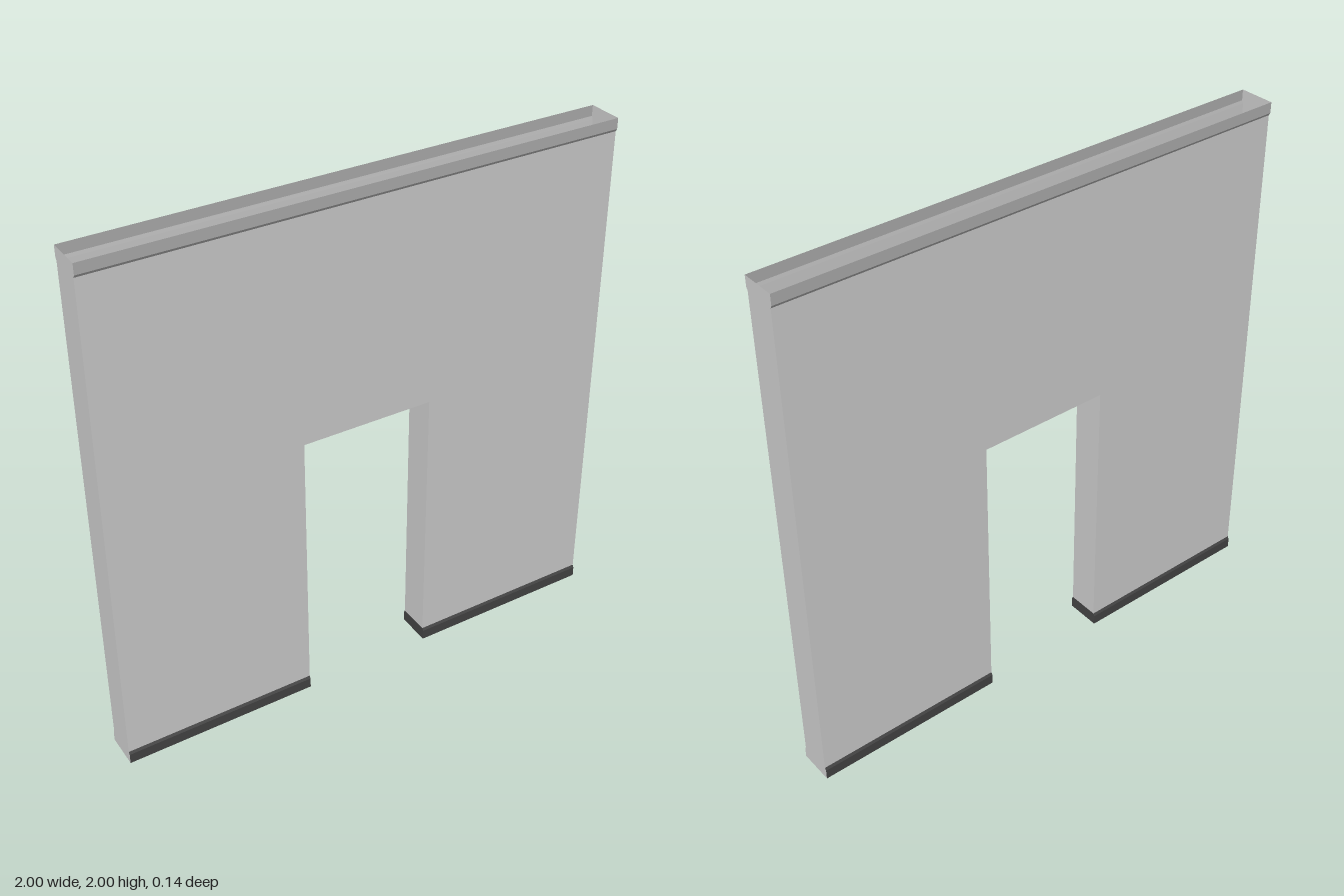
import * as THREE from 'three';

const WALL = 0.062, TRIM = 0.068;      // half depths of wall and trim
const DOOR = 0.255, DOOR_TOP = 1.1;    // half width and height of the doorway
const TRIM_H = 0.05, BEVEL = 0.01, TOP = 2;

const material = (color) => new THREE.MeshStandardMaterial({ color, side: THREE.DoubleSide });
const wallMat = material(0xcccccc);
const topMat = material(0xadadad);
const baseMat = material(0x434343);

// Half profiles as [half depth, height], from low to high
const baseProfile = [[TRIM, 0], [TRIM, TRIM_H - BEVEL], [WALL, TRIM_H]];
const topProfile = [[WALL, TOP - TRIM_H], [TRIM, TOP - TRIM_H + BEVEL], [TRIM, TOP]];

const shapeOf = (points) => new THREE.Shape(points.map(([a, b]) => new THREE.Vector2(a, b)));

// Strip that runs along x from x0 to x1 and follows a half profile
function strip(x0, x1, profile) {
  const rows = profile.length;
  let geo = new THREE.PlaneGeometry(x1 - x0, 1, 1, rows - 1);
  geo.translate((x0 + x1) / 2, 0, 0);
  const pos = geo.attributes.position;
  for (let i = 0; i < pos.count; i++) {
    const [z, y] = profile[rows - 1 - Math.floor(i / 2)];
    pos.setY(i, y);
    pos.setZ(i, z);
  }
  geo = geo.toNonIndexed();
  geo.computeVertexNormals();
  return geo;
}

// Flat panel across the wall's depth at x, mirrored from a half profile
function crossPanel(x, facing, profile) {
  const other = [...profile].reverse().map(([z, y]) => [-z, y]);
  const geo = new THREE.ShapeGeometry(shapeOf([...profile, ...other]));
  geo.rotateY(facing * Math.PI / 2);
  geo.translate(x, 0, 0);
  return geo;
}

function add(group, name, geo, mat) {
  const mesh = new THREE.Mesh(geo, mat);
  mesh.name = name;
  group.add(mesh);
}

// One face of the wall with its top trim and skirting
function createSide(name) {
  const side = new THREE.Group();
  side.name = name;
  const low = TRIM_H, high = TOP - TRIM_H;
  const sheet = new THREE.ShapeGeometry(shapeOf([
    [-1, low], [-DOOR, low], [-DOOR, DOOR_TOP], [DOOR, DOOR_TOP],
    [DOOR, low], [1, low], [1, high], [-1, high],
  ]));
  sheet.translate(0, 0, WALL);
  add(side, 'wallFace', sheet, wallMat);
  add(side, 'topTrim', strip(-1, 1, topProfile), topMat);
  add(side, 'rightSkirting', strip(-1, -DOOR, baseProfile), baseMat);
  add(side, 'leftSkirting', strip(DOOR, 1, baseProfile), baseMat);
  return side;
}

export function createModel() {
  const model = new THREE.Group();
  model.name = 'doorwayWall';

  // Front and back faces; the wall is hollow and open above and below
  const back = createSide('backSide');
  back.rotation.y = Math.PI;
  model.add(createSide('frontSide'), back);

  // Outer ends, door jambs and skirting ends on both sides
  for (const [label, s] of [['left', 1], ['right', -1]]) {
    add(model, label + 'End', crossPanel(s, s, [...baseProfile, ...topProfile]), wallMat);
    add(model, label + 'Jamb', crossPanel(s * DOOR, -s, [[WALL, TRIM_H], [WALL, DOOR_TOP]]), wallMat);
    add(model, label + 'SkirtingEnd', crossPanel(s * DOOR, -s, baseProfile), baseMat);
  }

  // Underside of the doorway's head
  const lintel = new THREE.PlaneGeometry(2 * DOOR, 2 * WALL);
  lintel.rotateX(Math.PI / 2);
  lintel.translate(0, DOOR_TOP, 0);
  add(model, 'lintel', lintel, wallMat);

  return model;
}
